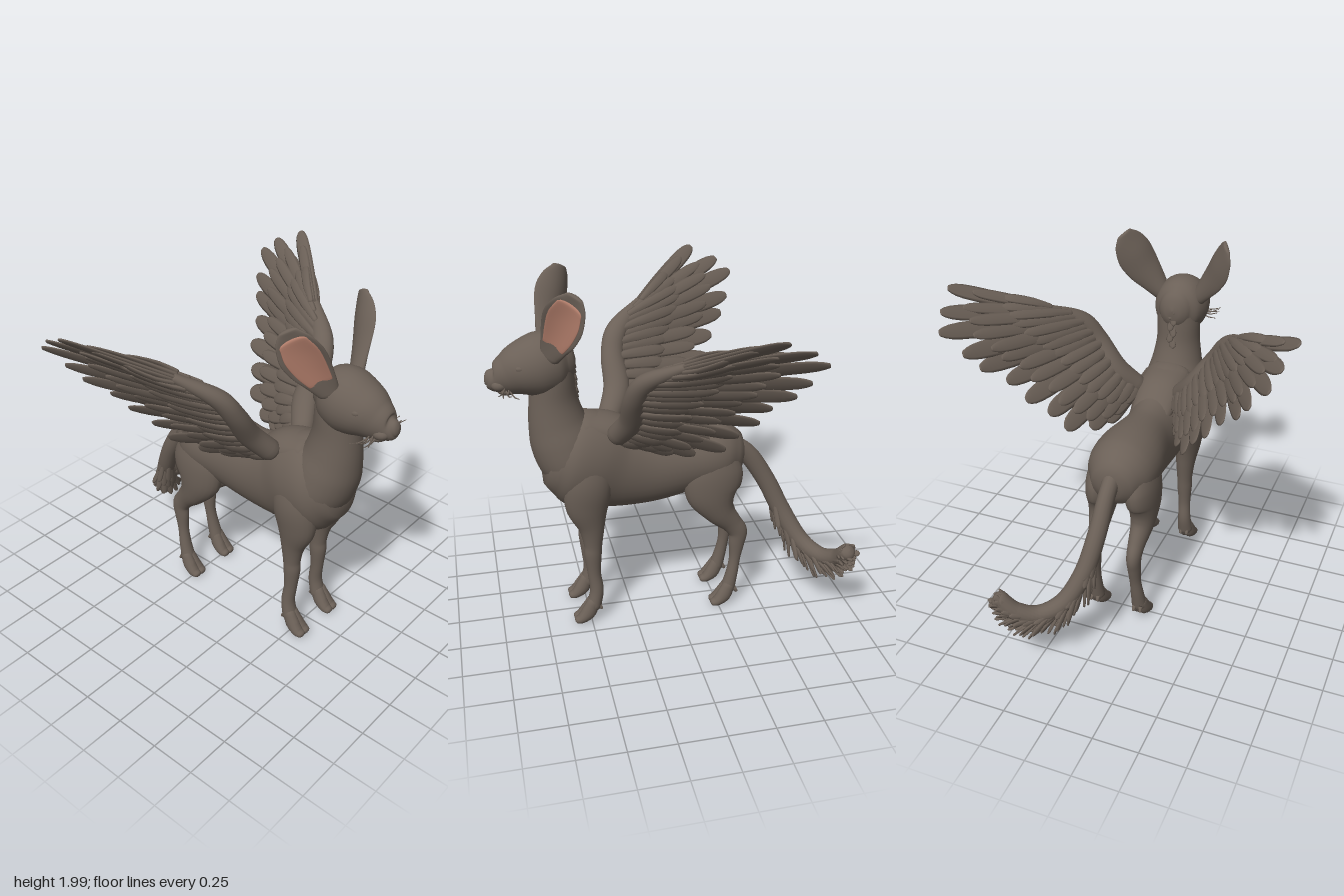
import * as THREE from 'three';
import { mergeGeometries } from 'three/addons/utils/BufferGeometryUtils.js';

const V = (x, y, z) => new THREE.Vector3(x, y, z);
const spline = (pts) => new THREE.CatmullRomCurve3(pts, false, 'catmullrom', 0.5);

// Smooth tube through sections [x, y, z, halfWidth, halfDepth], with rounded ends.
// ref is the width direction; cup bends the section; shift moves it along its depth.
function loft(sections, { ref = V(1, 0, 0), seg = 24, steps = 6, cap = 0.6, cup = 0, shift = 0 } = {}) {
  const path = spline(sections.map((s) => V(s[0], s[1], s[2])));
  const size = spline(sections.map((s) => V(s[3], s[4], 0)));
  const n = (sections.length - 1) * steps;
  const rings = [];
  const add = (u, scale, push) => {
    const t = path.getTangent(u);
    const side = ref.clone().addScaledVector(t, -ref.dot(t)).normalize();
    const depth = t.clone().cross(side);
    const r = size.getPoint(u);
    const c = path.getPoint(u).addScaledVector(t, push * Math.min(r.x, r.y) * cap);
    rings.push({ c, side, depth, a: r.x * scale, b: r.y * scale });
  };
  const dome = [0.03, 0.5, 0.85];
  dome.forEach((s) => add(0, s, -Math.sqrt(1 - s * s)));
  for (let i = 0; i <= n; i++) add(i / n, 1, 0);
  dome.reverse().forEach((s) => add(1, s, Math.sqrt(1 - s * s)));
  const pos = [], index = [];
  rings.forEach(({ c, side, depth, a, b }, i) => {
    for (let j = 0; j < seg; j++) {
      const q = (j / seg) * Math.PI * 2, w = a * Math.cos(q);
      const p = c.clone().addScaledVector(side, w)
        .addScaledVector(depth, b * Math.sin(q) + cup * w * w + shift);
      pos.push(p.x, p.y, p.z);
      if (i < rings.length - 1) {
        const k = (j + 1) % seg, o = i * seg, m = o + seg;
        index.push(o + j, o + k, m + k, o + j, m + k, m + j);
      }
    }
  });
  const g = new THREE.BufferGeometry();
  g.setAttribute('position', new THREE.Float32BufferAttribute(pos, 3));
  g.setIndex(index);
  g.computeVertexNormals();
  return g;
}

// Squashed ball
function ball(x, y, z, rx, ry, rz) {
  return new THREE.SphereGeometry(1, 18, 12).scale(rx, ry, rz).translate(x, y, z);
}

function mirrored(g) {
  const m = g.clone();
  m.scale(-1, 1, 1);
  const ix = m.index.array;
  for (let i = 0; i < ix.length; i += 3) [ix[i], ix[i + 1]] = [ix[i + 1], ix[i]];
  m.computeVertexNormals();
  return m;
}

// Flat pointed strand from a to b: feather or hair tuft
function strand(a, b, ref, w, thick, bend = V(0, 0, 0)) {
  const at = (u, k) => {
    const p = a.clone().lerp(b, u).addScaledVector(bend, Math.sin(u * Math.PI));
    return [p.x, p.y, p.z, w * k, thick * (1 - 0.5 * u)];
  };
  return loft([at(0, 0.6), at(0.35, 0.9), at(0.75, 1), at(0.93, 0.8), at(1, 0.4)], { ref, seg: 8, steps: 2, cap: 1 });
}

// Wing: arm along the leading edge, then fanned layers of feathers
function wingParts() {
  const armPts = [V(0.14, 1.16, 0.32), V(0.24, 1.28, 0.26), V(0.35, 1.44, 0.262), V(0.43, 1.56, 0.215), V(0.56, 1.67, 0.06)];
  const arm = spline(armPts);
  const tips = spline([
    V(0.21, 1.06, 0.04), V(0.26, 1.05, -0.08), V(0.34, 1.11, -0.21), V(0.42, 1.21, -0.28),
    V(0.5, 1.32, -0.34), V(0.6, 1.43, -0.4), V(0.69, 1.53, -0.46), V(0.77, 1.62, -0.54),
    V(0.85, 1.74, -0.555), V(0.9, 1.82, -0.5), V(0.92, 1.885, -0.33),
  ]);
  const feathers = [];
  const layer = (count, reach, width, lift) => {
    for (let i = 0; i < count; i++) {
      const u = i / (count - 1);
      const along = arm.getTangent(u).lerp(tips.getTangent(u), u * 0.6);
      const root = arm.getPoint(u);
      const tip = root.clone().lerp(tips.getPoint(u), reach * (1 - 0.04 * (i % 2)));
      const dir = tip.clone().sub(root).normalize();
      const normal = along.clone().cross(dir).normalize();
      const ref = normal.clone().cross(dir);
      const off = normal.clone().multiplyScalar(lift + 0.006 * (i % 2));
      feathers.push(strand(root.add(off), tip.addScaledVector(off, 0.6), ref, width * (1 - 0.25 * u), 0.013, normal.clone().multiplyScalar(lift * 0.5)));
    }
  };
  layer(11, 1, 0.06, 0);
  layer(14, 0.8, 0.045, 0.014);
  layer(14, 0.74, 0.045, -0.014);
  layer(16, 0.5, 0.038, 0.03);
  layer(16, 0.46, 0.038, -0.03);
  // Short feathers hanging where the wing joins the shoulder
  for (let i = 0; i < 5; i++) {
    const root = V(0.17 + 0.012 * i, 1.2 + 0.03 * i, 0.34 - 0.015 * i);
    feathers.push(strand(root, root.clone().add(V(0.045, -0.07, -0.2)), V(0.3, 1, -0.2), 0.035, 0.014));
  }
  const r = [[0.065, 0.06], [0.075, 0.06], [0.065, 0.055], [0.06, 0.05], [0.03, 0.025]];
  const armGeo = loft(armPts.map((p, i) => [p.x, p.y, p.z, ...r[i]]), { ref: V(0, 0, 1) });
  return { wingArm: armGeo, wingFeathers: mergeGeometries(feathers) };
}

// Two close-set toes and two small dewclaws around an ankle
function foot(x, z) {
  const parts = [];
  for (const s of [-1, 1]) {
    parts.push(loft([
      [x + s * 0.01, 0.13, z, 0.032, 0.036], [x + s * 0.016, 0.07, z + 0.03, 0.036, 0.044],
      [x + s * 0.02, 0.036, z + 0.07, 0.035, 0.031], [x + s * 0.021, 0.026, z + 0.1, 0.027, 0.02],
    ], { seg: 14, steps: 4 }));
    parts.push(loft([[x + s * 0.018, 0.115, z - 0.025, 0.014, 0.014], [x + s * 0.02, 0.085, z - 0.044, 0.009, 0.009]], { seg: 8, steps: 2 }));
  }
  return mergeGeometries(parts);
}

export function createModel() {
  const fur = new THREE.MeshStandardMaterial({ color: 0x6b6057 });
  fur.name = 'brown fur';
  const pink = new THREE.MeshStandardMaterial({ color: 0xb47f6c });
  pink.name = 'inner ear pink';
  const model = new THREE.Group();
  model.name = 'wingedCreature';
  const add = (name, geometry, material = fur) => {
    const mesh = new THREE.Mesh(geometry, material);
    mesh.name = name;
    model.add(mesh);
  };
  const pair = (name, geometry, material) => {
    add(name + 'Left', geometry, material);
    add(name + 'Right', mirrored(geometry), material);
  };

  // Trunk, neck and head
  add('torso', loft([
    [0, 0.93, -0.36, 0.135, 0.14], [0, 0.94, -0.27, 0.185, 0.19], [0, 0.945, -0.13, 0.195, 0.203],
    [0, 0.91, 0.1, 0.157, 0.228], [0, 0.92, 0.28, 0.168, 0.25], [0, 0.965, 0.44, 0.205, 0.28],
    [0, 0.995, 0.56, 0.21, 0.27], [0, 1.015, 0.645, 0.172, 0.205],
  ], { seg: 32, cap: 0.4 }));
  add('neck', loft([
    [0, 0.88, 0.53, 0.175, 0.14], [0, 1.0, 0.57, 0.19, 0.175], [0, 1.12, 0.605, 0.174, 0.176],
    [0, 1.23, 0.63, 0.146, 0.153], [0, 1.35, 0.642, 0.127, 0.13], [0, 1.48, 0.638, 0.125, 0.115],
    [0, 1.6, 0.63, 0.115, 0.1],
  ], { seg: 28 }));
  add('withers', loft([
    [0, 1.06, 0.18, 0.115, 0.06], [0, 1.13, 0.34, 0.14, 0.1], [0, 1.19, 0.5, 0.13, 0.07],
  ]));
  add('head', loft([
    [0, 1.56, 0.56, 0.09, 0.11], [0, 1.555, 0.61, 0.135, 0.155], [0, 1.545, 0.7, 0.155, 0.172],
    [0, 1.525, 0.8, 0.136, 0.145], [0, 1.5, 0.88, 0.096, 0.108], [0, 1.485, 0.94, 0.062, 0.074],
    [0, 1.492, 0.975, 0.034, 0.042],
  ], { seg: 32, cap: 0.5 }));
  add('chin', ball(0, 1.422, 0.88, 0.06, 0.032, 0.055));
  pair('muzzle', ball(0.034, 1.46, 0.915, 0.046, 0.036, 0.048));
  pair('brow', ball(0.085, 1.602, 0.785, 0.038, 0.02, 0.045));
  pair('closedEye', ball(0.11, 1.565, 0.803, 0.022, 0.022, 0.035));

  // Whiskers
  const whiskers = [];
  for (let i = 0; i < 5; i++) {
    const y = 1.422 + i * 0.006, z = 0.87 + (i % 3) * 0.018;
    whiskers.push(loft([
      [0.05, y + 0.008, z, 0.005, 0.005], [0.11, y - 0.008, z + 0.01 * (i - 2), 0.004, 0.004],
      [0.165, y + 0.012 * (i % 2), z + 0.022 * (i - 2), 0.002, 0.002],
    ], { ref: V(0, 1, 0), seg: 6, steps: 4 }));
  }
  pair('whiskers', mergeGeometries(whiskers));

  // Cupped ears with pink lining
  const ear = (k, b, skip) => [
    [0.11, 1.62, 0.655, 0.055, 0.035], [0.15, 1.695, 0.63, 0.08, 0.026], [0.192, 1.775, 0.6, 0.105, 0.018],
    [0.235, 1.86, 0.573, 0.114, 0.018], [0.275, 1.93, 0.55, 0.09, 0.016], [0.298, 1.975, 0.537, 0.05, 0.014],
  ].slice(skip, skip ? 5 : 6).map(([x, y, z, w, d]) => [x, y, z, w * k, b || d]);
  const earRef = V(-0.5, 0.42, 0.75);
  pair('ear', loft(ear(1, 0, 0), { ref: earRef, cup: 3 }));
  pair('innerEar', loft(ear(0.79, 0.01, 1), { ref: earRef, cup: 3, shift: 0.015, cap: 1.5 }), pink);

  // Legs
  pair('frontLeg', loft([
    [0.11, 1.06, 0.48, 0.075, 0.1], [0.135, 0.9, 0.49, 0.085, 0.13], [0.128, 0.75, 0.5, 0.077, 0.12],
    [0.122, 0.61, 0.48, 0.057, 0.074], [0.12, 0.5, 0.475, 0.046, 0.052], [0.12, 0.43, 0.478, 0.045, 0.049],
    [0.123, 0.31, 0.475, 0.036, 0.038], [0.128, 0.2, 0.465, 0.039, 0.039], [0.13, 0.1, 0.485, 0.046, 0.042],
  ]));
  pair('frontFoot', foot(0.132, 0.488));
  pair('hindLeg', loft([
    [0.09, 0.98, -0.22, 0.085, 0.13], [0.112, 0.86, -0.215, 0.09, 0.172], [0.122, 0.74, -0.21, 0.081, 0.15],
    [0.125, 0.63, -0.25, 0.064, 0.092], [0.12, 0.54, -0.322, 0.048, 0.062], [0.12, 0.475, -0.365, 0.041, 0.056],
    [0.12, 0.4, -0.362, 0.037, 0.047], [0.122, 0.3, -0.352, 0.032, 0.033], [0.127, 0.2, -0.335, 0.037, 0.035],
    [0.13, 0.1, -0.31, 0.044, 0.042],
  ]));
  pair('hindFoot', foot(0.132, -0.315));

  // Tail, curling to the left, with shaggy hair towards the tip
  const tailPts = [
    [0, 1.0, -0.33, 0.05, 0.05], [0, 0.9, -0.45, 0.046, 0.055], [0.01, 0.73, -0.56, 0.05, 0.054],
    [0.05, 0.53, -0.655, 0.052, 0.055], [0.13, 0.375, -0.745, 0.052, 0.052], [0.24, 0.32, -0.83, 0.05, 0.05],
    [0.345, 0.36, -0.895, 0.05, 0.05], [0.425, 0.44, -0.92, 0.048, 0.048],
  ];
  add('tail', loft(tailPts, { seg: 16 }));
  const tailPath = spline(tailPts.map((p) => V(p[0], p[1], p[2])));
  const hair = [];
  for (let i = 0; i < 140; i++) {
    const u = 0.36 + 0.63 * (i / 139);
    const t = tailPath.getTangent(u), q = i * 2.4;
    const side = V(0, 1, 0).cross(t).normalize(), up = t.clone().cross(side);
    const out = side.clone().multiplyScalar(Math.cos(q)).addScaledVector(up, Math.sin(q));
    const under = out.y < 0 ? 1 : 0.4;
    const root = tailPath.getPoint(u).addScaledVector(out, 0.035);
    const end = 1 - 0.55 * Math.max(0, (u - 0.75) / 0.25);
    const tip = root.clone().addScaledVector(t, 0.1 * end)
      .addScaledVector(out, 0.05 * under * end * (0.7 + 0.3 * Math.sin(i * 5)));
    tip.y -= 0.04 * under * end;
    hair.push(strand(root, tip, t.clone().cross(out), 0.018, 0.012));
  }
  add('tailHair', mergeGeometries(hair));

  // Short mane down the back of the neck
  const mane = [];
  for (let i = 0; i < 9; i++) {
    const y = 1.62 - i * 0.035, z = 0.535 - 0.015 * (i / 8);
    mane.push(strand(V(0, y, z + 0.01), V(0.012 * (i % 2 ? 1 : -1), y - 0.07, z - 0.015), V(1, 0, 0), 0.02, 0.012));
  }
  add('mane', mergeGeometries(mane));

  // Wings
  for (const [name, geometry] of Object.entries(wingParts())) pair(name, geometry);
  return model;
}
